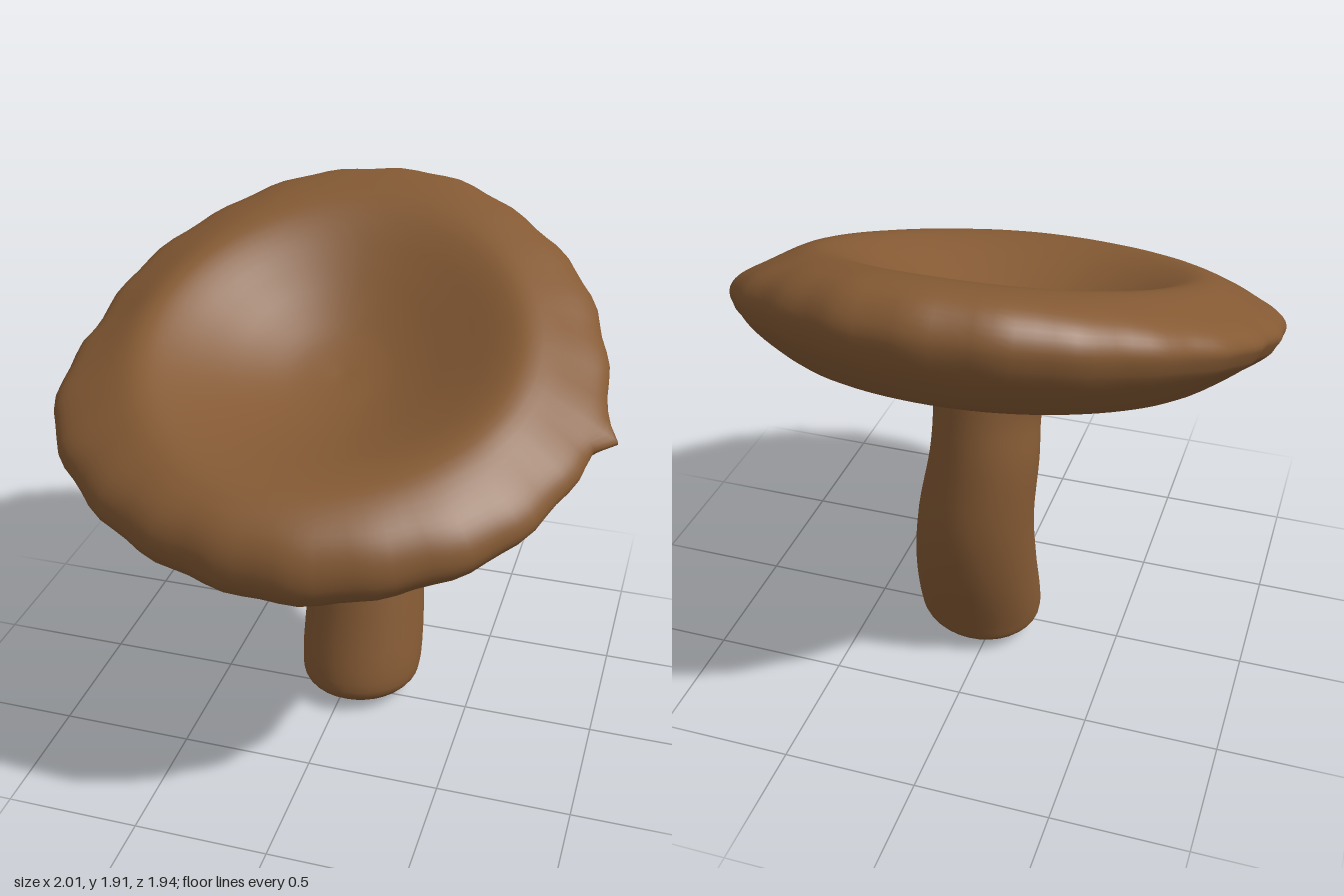
import * as THREE from 'three';
import { mergeVertices } from 'three/addons/utils/BufferGeometryUtils.js';

const material = new THREE.MeshStandardMaterial({ color: 0x855a34 });

// Lathe whose vertices are moved by a rule, welded for smooth normals.
function shapedLathe(points, segments, move) {
  const geo = new THREE.LatheGeometry(points, segments);
  geo.deleteAttribute('uv');
  geo.deleteAttribute('normal');
  const pos = geo.attributes.position;
  const v = new THREE.Vector3();
  for (let i = 0; i < pos.count; i++) {
    v.fromBufferAttribute(pos, i);
    move(v);
    pos.setXYZ(i, v.x, v.y, v.z);
  }
  const welded = mergeVertices(geo, 1e-4);
  welded.computeVertexNormals();
  return welded;
}

// Cap: broad round rim, shallow hollow on top, underside flaring down to the stem.
function createCap() {
  const profile = new THREE.SplineCurve([
    [0, -0.32], [0.15, -0.315], [0.215, -0.27], [0.29, -0.205], [0.42, -0.175], [0.58, -0.19],
    [0.74, -0.215], [0.87, -0.178], [0.96, -0.1], [1, 0.0], [0.97, 0.1], [0.89, 0.17],
    [0.76, 0.195], [0.62, 0.16], [0.47, 0.09], [0.32, 0.02], [0.17, -0.03], [0, -0.05],
  ].map(([r, h]) => new THREE.Vector2(r, h)));
  const points = profile.getPoints(68);
  points.forEach((p) => { p.x = Math.max(0, p.x); });
  points[0].x = points[points.length - 1].x = 0;

  const geo = shapedLathe(points, 96, (v) => {
    const r = Math.hypot(v.x, v.z);
    const a = Math.atan2(v.z, v.x); // 0 is +x, PI/2 is the front
    const side = Math.cos(a) ** 2;
    const back = Math.max(0, -Math.sin(a));
    const top = v.y > -0.06;
    const edge = THREE.MathUtils.smoothstep(r, 0.7, 1);
    const scallop = 0.006 * Math.sin(23 * a) + 0.005 * Math.sin(9 * a + 1);
    const bulge = 0.05 * Math.exp(-(((a - 2.65) / 0.35) ** 2));
    const nub = 0.07 * Math.exp(-(((a - 0.12) / 0.045) ** 2))
      * Math.exp(-(((v.y + 0.02) / 0.08) ** 2));
    const grow = 1 + edge * (scallop + bulge + nub + 0.02 * back);
    // Rim tapers at the sides; the right side and the back edge sit a little higher
    const thin = top ? 0.5 : 0.35;
    const taper = 1 - (thin * side + 0.08 * back) * THREE.MathUtils.smoothstep(r, 0.65, 0.97);
    const lift = r * r * side * (v.x < 0 ? 0.02 : -0.03);
    v.y = v.y * taper + lift + 0.04 * edge * back;
    v.x = v.x * 0.965 * grow * (1 + 0.04 * v.z) - 0.025;
    const shift = top ? -0.02 : -0.08;
    v.z = v.z * 1.015 * grow + shift * Math.max(0, 1 - r);
  });
  const cap = new THREE.Mesh(geo, material);
  cap.name = 'cap';
  cap.position.set(0, 1.425, 0);
  cap.rotation.x = 0.345;
  return cap;
}

// Stem: oval sections along a bowed path, ending inside the cap's flare.
function createStem() {
  // y, centre x, centre z, radius x, radius z, tilt of the section
  const sections = [
    [0.0, 0.06, -0.05, 0, 0, 0],
    [0.012, 0.06, -0.05, 0.12, 0.11, 0],
    [0.055, 0.045, -0.05, 0.21, 0.2, 0],
    [0.14, 0.05, -0.06, 0.24, 0.225, 0],
    [0.4, 0.045, -0.14, 0.235, 0.22, 0],
    [0.65, 0.03, -0.19, 0.22, 0.2, 0],
    [0.9, 0.0, -0.175, 0.205, 0.19, 0.05],
    [1.06, 0.0, -0.135, 0.2, 0.19, 0.25],
    [1.14, 0.0, -0.1, 0.215, 0.205, 0.33],
    [1.23, 0.0, -0.08, 0.21, 0.2, 0.35],
    [1.24, 0.0, -0.08, 0, 0, 0.35],
  ];
  const last = sections.length - 1;
  const sample = (t, k) => {
    const i = Math.min(Math.floor(t), last - 1);
    const at = (n) => sections[THREE.MathUtils.clamp(n, 0, last)][k];
    const f = t - i;
    const m0 = (at(i + 1) - at(i - 1)) / 2;
    const m1 = (at(i + 2) - at(i)) / 2;
    const d = at(i + 1) - at(i);
    return at(i) + f * (m0 + f * (3 * d - 2 * m0 - m1 + f * (m0 + m1 - 2 * d)));
  };
  const points = [];
  for (let t = 0; t <= last; t += 0.25) points.push(new THREE.Vector2(1, t));

  const geo = shapedLathe(points, 32, (v) => {
    const t = v.y;
    const a = Math.atan2(v.z, v.x);
    const ripple = 1 + 0.012 * Math.sin(3 * a + t);
    const dx = v.x * Math.max(0, sample(t, 3)) * ripple;
    const dz = v.z * Math.max(0, sample(t, 4)) * ripple;
    v.set(sample(t, 1) + dx, Math.max(0, sample(t, 0)) - sample(t, 5) * dz, sample(t, 2) + dz);
  });
  const stem = new THREE.Mesh(geo, material);
  stem.name = 'stem';
  return stem;
}

export function createModel() {
  const model = new THREE.Group();
  model.name = 'mushroom';
  model.add(createCap(), createStem());
  return model;
}
